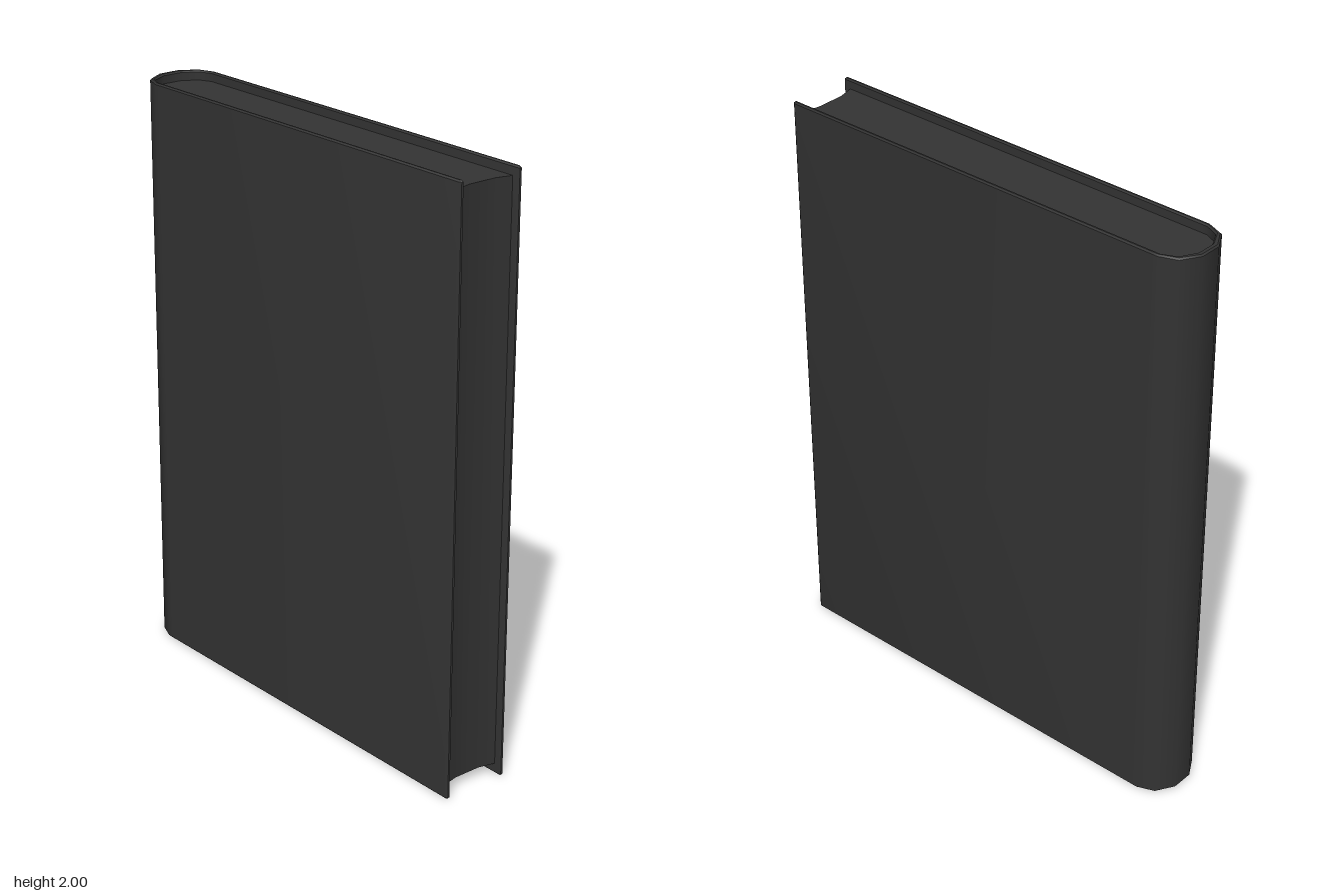
import * as THREE from 'three';
import { toCreasedNormals } from 'three/addons/utils/BufferGeometryUtils.js';

const SPINE_X = -0.68; // where the flat boards turn into the rounded spine
const SPINE_SEGMENTS = 5;

// Half ellipse around the spine, running from +z to -z
function spineArc(rx, rz) {
  const points = [];
  for (let i = 0; i <= SPINE_SEGMENTS; i++) {
    const a = Math.PI / 2 + (Math.PI * i) / SPINE_SEGMENTS;
    points.push([SPINE_X + rx * Math.cos(a), rz * Math.sin(a)]);
  }
  return points;
}

const mirror = (points) => points.map(([x, z]) => [x, -z]).reverse();

// Stand a plan outline upright between two heights
function extrudeUp(outline, bottom, top, bevel) {
  const shape = new THREE.Shape(outline.map(([x, z]) => new THREE.Vector2(x, z)));
  const geometry = new THREE.ExtrudeGeometry(shape, {
    depth: top - bottom - 2 * bevel,
    bevelEnabled: bevel > 0,
    bevelSize: bevel,
    bevelThickness: bevel,
    bevelOffset: -bevel,
    bevelSegments: 1,
  });
  geometry.rotateX(-Math.PI / 2);
  geometry.translate(0, bottom + bevel, 0);
  return toCreasedNormals(geometry, 0.7);
}

export function createModel() {
  const book = new THREE.Group();
  book.name = 'book';
  const material = new THREE.MeshStandardMaterial({ color: 0x333333 });

  function addPart(name, geometry) {
    const mesh = new THREE.Mesh(geometry, material);
    mesh.name = name;
    book.add(mesh);
  }

  // Cover: two boards joined by the spine, with eased fore edges
  const outerEdge = [[0.775, 0.117], [0.767, 0.122], [SPINE_X + 0.02, 0.122]];
  const innerEdge = [[SPINE_X + 0.02, 0.107], [0.77, 0.107], [0.775, 0.11]];
  const cover = [
    ...outerEdge, ...spineArc(0.1, 0.122), ...mirror(outerEdge),
    ...mirror(innerEdge), ...spineArc(0.078, 0.107).reverse(), ...innerEdge,
  ];
  addPart('cover', extrudeUp(cover, 0, 2, 0.005));

  // Page block: set in from the cover, with a hollowed fore edge
  const foreEdge = [[0.735, 0], [0.735, 0.05], [0.75, 0.111]];
  const pages = [...foreEdge, ...spineArc(0.082, 0.111), ...mirror(foreEdge).slice(0, -1)];
  addPart('pages', extrudeUp(pages, 0.035, 1.968, 0));

  return book;
}
